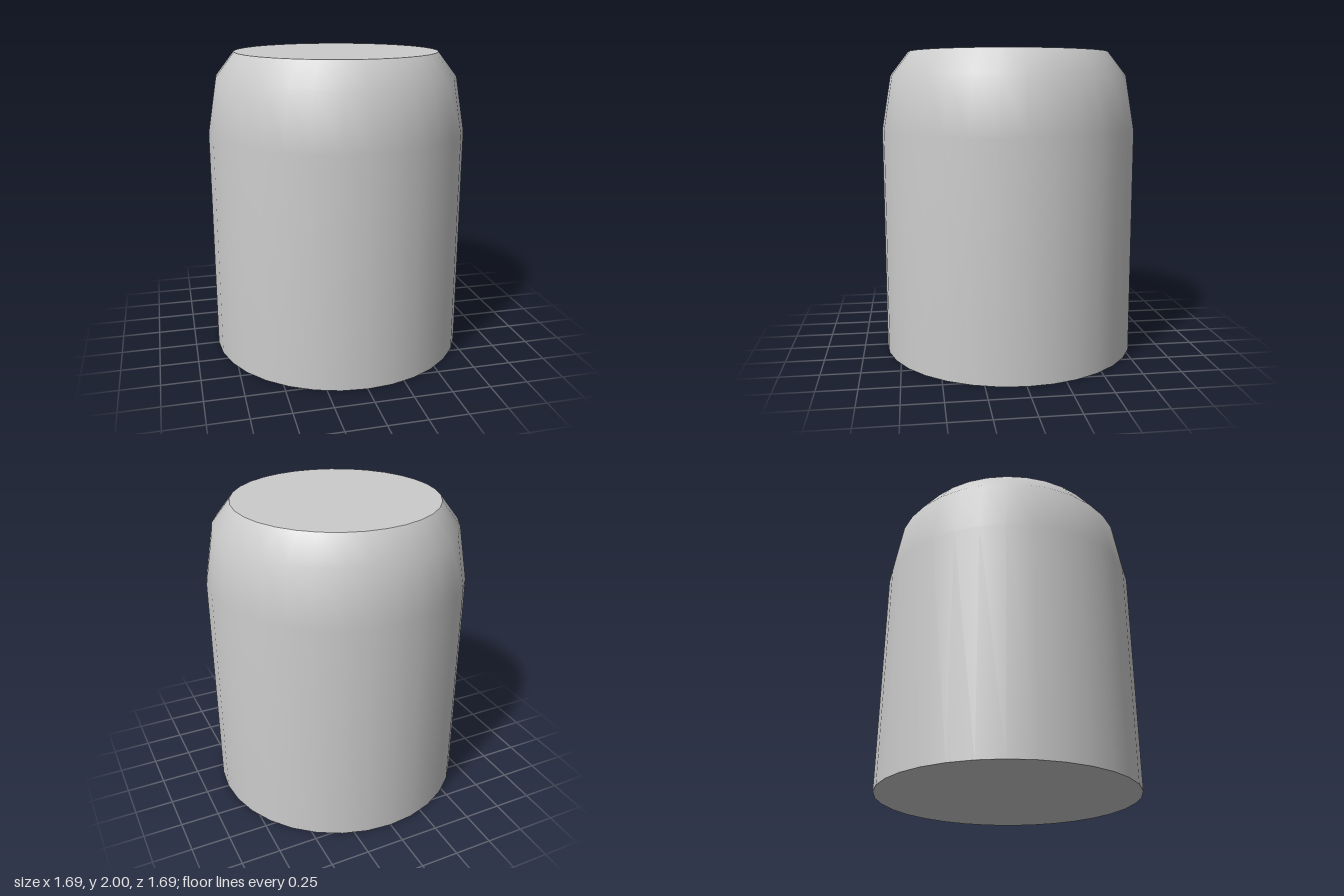
import * as THREE from 'three';

const SIDES = 32;
const PROFILE = [[0.845, 0], [0.845, 1.49], [0.785, 1.845], [0.665, 2]];

export function createModel() {
  const group = new THREE.Group();
  group.name = 'roundedCylinder';
  const material = new THREE.MeshStandardMaterial({ color: 0xcccccc });

  const add = (name, geometry) => {
    const mesh = new THREE.Mesh(geometry, material);
    mesh.name = name;
    group.add(mesh);
    return mesh;
  };

  // Straight wall with a smoothly shaded, tapering shoulder
  add('wall', new THREE.LatheGeometry(PROFILE.map(([r, y]) => new THREE.Vector2(r, y)), SIDES));

  // Flat discs closing both ends with a crisp rim
  const addCap = (name, [radius, y], facing) => {
    const cap = add(name, new THREE.CircleGeometry(radius, SIDES));
    cap.rotation.x = -facing * Math.PI / 2;
    cap.position.y = y;
  };
  addCap('topCap', PROFILE[PROFILE.length - 1], 1);
  addCap('bottomCap', PROFILE[0], -1);

  return group;
}
